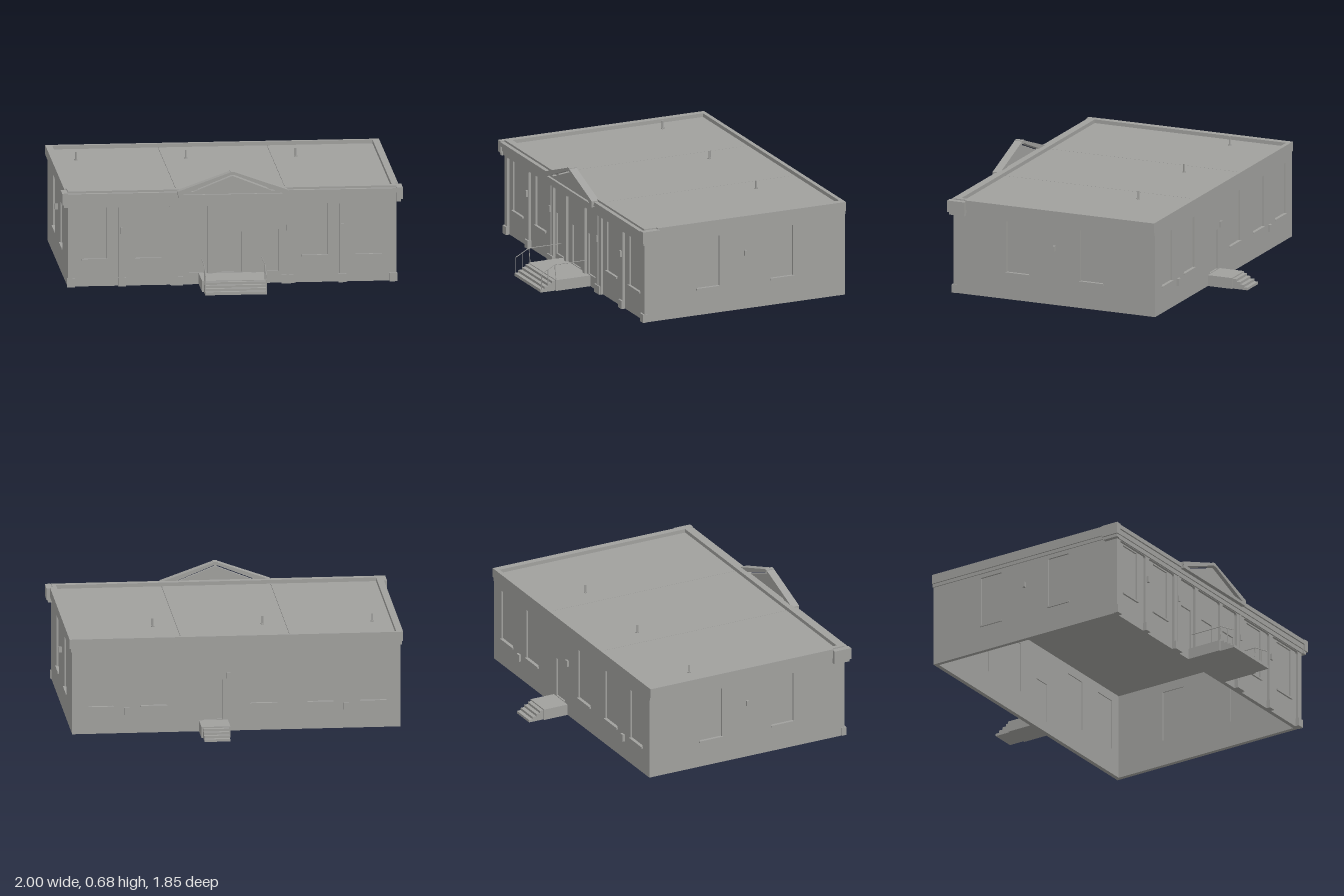
import * as THREE from 'three';

export function createModel() {
  const model = new THREE.Group();
  const stone = new THREE.MeshStandardMaterial({ color: 0xa0a09d });
  stone.name = 'stoneGrey';

  function add(name, geo) {
    const m = new THREE.Mesh(geo, stone);
    m.name = name;
    model.add(m);
    return m;
  }
  // box given by its limits on each axis
  function box(name, x0, x1, y0, y1, z0, z1) {
    const g = new THREE.BoxGeometry(x1 - x0, y1 - y0, z1 - z0);
    return add(name, g.translate((x0 + x1) / 2, (y0 + y1) / 2, (z0 + z1) / 2));
  }
  // rectangular outline
  function rect(path, a, b, c, d) {
    path.moveTo(a, c);
    path.lineTo(b, c);
    path.lineTo(b, d);
    path.lineTo(a, d);
    path.closePath();
    return path;
  }
  const extrude = (shape, depth) =>
    new THREE.ExtrudeGeometry(shape, { depth, bevelEnabled: false, curveSegments: 4 });
  function wallGeo(u0, u1, top, openings, depth) {
    const s = rect(new THREE.Shape(), u0, u1, 0, top);
    for (const o of openings) s.holes.push(rect(new THREE.Path(), ...o));
    return extrude(s, depth);
  }
  // thin bar between two points
  function bar(name, a, b, r) {
    const p = new THREE.Vector3(...a), q = new THREE.Vector3(...b), d = q.clone().sub(p);
    const m = add(name, new THREE.CylinderGeometry(r, r, d.length(), 6));
    m.position.copy(p).add(q).multiplyScalar(0.5);
    m.quaternion.setFromUnitVectors(new THREE.Vector3(0, 1, 0), d.normalize());
  }

  const TOP = 0.572, WX = 0.965, FRONT = 0.62, BACK = -0.675, T = 0.025;
  const win = (a, b) => [a, b, 0.16, 0.47];

  // front wall: inner layer with windows and doors
  const frontWindows = [win(-0.88, -0.735), win(-0.565, -0.42), win(0.415, 0.56), win(0.73, 0.875)];
  const frontDoors = [[-0.28, -0.17, 0.07, 0.32], [-0.06, 0.055, 0.07, 0.31], [0.165, 0.275, 0.07, 0.32]];
  const frontHoles = [...frontWindows, ...frontDoors];
  add('frontWall', wallGeo(-WX, WX, TOP, frontHoles, T).translate(0, 0, 0.58));
  for (const [a, b, c, d] of frontHoles) box('frontPane', a, b, c, d, 0.587, 0.595);
  for (const [a, b, c] of frontWindows) box('frontSill', a - 0.005, b + 0.005, c - 0.006, c + 0.004, 0.6, 0.616);

  // front wall: outer layer, notched into round-cornered bays
  const bays = [[-0.93, -0.665], [-0.63, -0.365], [-0.295, -0.145], [-0.115, 0.115],
    [0.14, 0.29], [0.365, 0.63], [0.665, 0.93]];
  const face = new THREE.Shape();
  face.moveTo(-WX, 0);
  const bt = 0.478, r = 0.015;
  for (const [a, b] of bays) {
    face.lineTo(a, 0);
    face.lineTo(a, bt - r);
    face.quadraticCurveTo(a, bt, a + r, bt);
    face.lineTo(b - r, bt);
    face.quadraticCurveTo(b, bt, b, bt - r);
    face.lineTo(b, 0);
  }
  face.lineTo(WX, 0);
  face.lineTo(WX, TOP);
  face.lineTo(-WX, TOP);
  face.closePath();
  add('frontPiers', extrude(face, FRONT - 0.605).translate(0, 0, 0.605));

  // pier bases, wall lamps and the narrow strips beside the entrance
  for (const s of [-1, 1]) {
    for (const [x, w] of [[0.947, 0.045], [0.647, 0.045], [0.325, 0.07]])
      box('pierBase', s * x - w / 2, s * x + w / 2, 0, 0.05, 0.6, 0.63);
    box('pierStrip', s * 0.325 - 0.007, s * 0.325 + 0.007, 0.05, 0.48, FRONT, 0.625);
    for (const x of [0.647, 0.325]) box('wallLamp', s * x - 0.008, s * x + 0.008, 0.315, 0.352, FRONT, 0.632);
  }

  // back wall
  const backWindows = [win(-0.88, -0.73), win(-0.57, -0.42), win(-0.235, -0.085), win(0.41, 0.56), win(0.725, 0.87)];
  const backHoles = [...backWindows, [0.08, 0.19, 0.07, 0.31]];
  add('backWall', wallGeo(-WX, WX, TOP, backHoles, T).translate(0, 0, BACK));
  for (const [a, b, c, d] of backHoles) box('backPane', a, b, c, d, BACK + 0.011, BACK + 0.019);
  for (const [a, b, c] of backWindows) box('backSill', a - 0.005, b + 0.005, c - 0.006, c + 0.004, BACK - 0.009, BACK + 0.012);
  for (const x of [-0.645, 0.645]) box('utilityBox', x - 0.015, x + 0.015, 0.112, 0.155, BACK - 0.014, BACK);
  box('doorLamp', 0.035, 0.06, 0.315, 0.352, BACK - 0.012, BACK);

  // side walls with windows, sills, lamp and upper bands
  const sideWindows = [win(0.135, 0.28), win(-0.34, -0.195)];
  for (const s of [-1, 1]) {
    const spanX = (name, a, b, ...rest) => box(name, Math.min(s * a, s * b), Math.max(s * a, s * b), ...rest);
    const g = wallGeo(BACK + T, 0.58, TOP, sideWindows, T).rotateY(-Math.PI / 2);
    add('sideWall', g.translate(s > 0 ? WX : -WX + T, 0, 0));
    for (const [a, b, c, d] of sideWindows) {
      spanX('sidePane', WX - 0.019, WX - 0.011, c, d, a, b);
      spanX('sideSill', WX - 0.012, WX + 0.008, c - 0.006, c + 0.004, a - 0.005, b + 0.005);
    }
    spanX('sideLamp', WX, 0.982, 0.328, 0.36, -0.036, -0.022);
    spanX('sideBandLower', WX, 0.972, 0.495, 0.515, BACK, 0.54);
    spanX('sideBandUpper', WX, 0.98, 0.515, TOP, BACK, 0.54);
    // cornice return at the front corner
    spanX('cornerCornice', WX, 0.99, 0.478, 0.53, 0.54, 0.638);
    spanX('cornerCorniceCap', WX, 1, 0.495, 0.565, 0.535, 0.645);
  }

  // front cornice in stepped layers
  box('corniceLower', -WX, WX, 0.48, 0.505, FRONT, 0.628);
  box('corniceMiddle', -WX, WX, 0.505, 0.535, FRONT, 0.635);
  box('corniceUpper', -WX, WX, 0.535, 0.56, FRONT, 0.645);

  // pediment: triangle with a separate sloping cornice above it
  box('pedimentBase', -0.32, 0.32, 0.528, 0.546, FRONT, 0.66);
  const tri = new THREE.Shape();
  tri.moveTo(-0.27, 0.545);
  tri.lineTo(0.27, 0.545);
  tri.lineTo(0, 0.652);
  tri.closePath();
  add('pedimentPanel', extrude(tri, 0.02).translate(0, 0, 0.625));
  for (const s of [-1, 1]) {
    const rake = new THREE.Shape();
    rake.moveTo(s * 0.325, 0.546);
    rake.lineTo(s * 0.325, 0.566);
    rake.lineTo(s * 0.012, 0.677);
    rake.lineTo(s * 0.012, 0.66);
    rake.lineTo(s * 0.295, 0.546);
    rake.closePath();
    add('pedimentRake', extrude(rake, 0.048).translate(0, 0, 0.612));
  }
  box('pedimentPeak', -0.014, 0.014, 0.66, 0.68, 0.61, 0.66);

  // roof in three slabs with vent pipes
  for (const [a, b] of [[-0.942, -0.321], [-0.319, 0.319], [0.321, 0.942]])
    box('roofSlab', a, b, 0.53, 0.55, BACK + T, 0.582);
  box('ceiling', -0.942, 0.942, 0.526, 0.532, BACK + T, 0.582);
  for (const x of [-0.83, -0.185, 0.46]) {
    bar('ventPipe', [x, 0.55, -0.338], [x, 0.6, -0.338], 0.006);
    bar('ventCollar', [x, 0.548, -0.338], [x, 0.556, -0.338], 0.011);
  }

  // stairs: a landing and three lower treads
  function stairs(name, x0, x1, wall, landing, end) {
    const s = Math.sign(end), step = (end - landing) / 4;
    const z = (a, b) => [Math.min(a, b), Math.max(a, b)];
    box(name + 'Landing', x0, x1, 0, 0.066, ...z(wall, landing));
    for (let i = 0; i < 4; i++)
      box(name + 'Step', x0 + 0.01, x1 - 0.01, 0, 0.066 - 0.0145 * (i + (s > 0 ? 0.3 : 0.5)),
        ...z(landing + i * step, landing + (i + 1) * step));
  }
  stairs('front', -0.195, 0.187, 0.605, 0.825, 0.92);
  stairs('back', 0.05, 0.22, BACK, -0.83, -0.925);

  // handrails
  for (const x of [-0.182, 0.174]) {
    bar('handrail', [x, 0.158, FRONT], [x, 0.158, 0.828], 0.0025);
    bar('handrail', [x, 0.158, 0.828], [x, 0.113, 0.913], 0.0025);
    bar('railPost', [x, 0.06, 0.82], [x, 0.158, 0.828], 0.0025);
    bar('railPost', [x, 0.035, 0.872], [x, 0.135, 0.872], 0.0025);
    bar('railPost', [x, 0.015, 0.913], [x, 0.113, 0.913], 0.0025);
  }
  return model;
}
